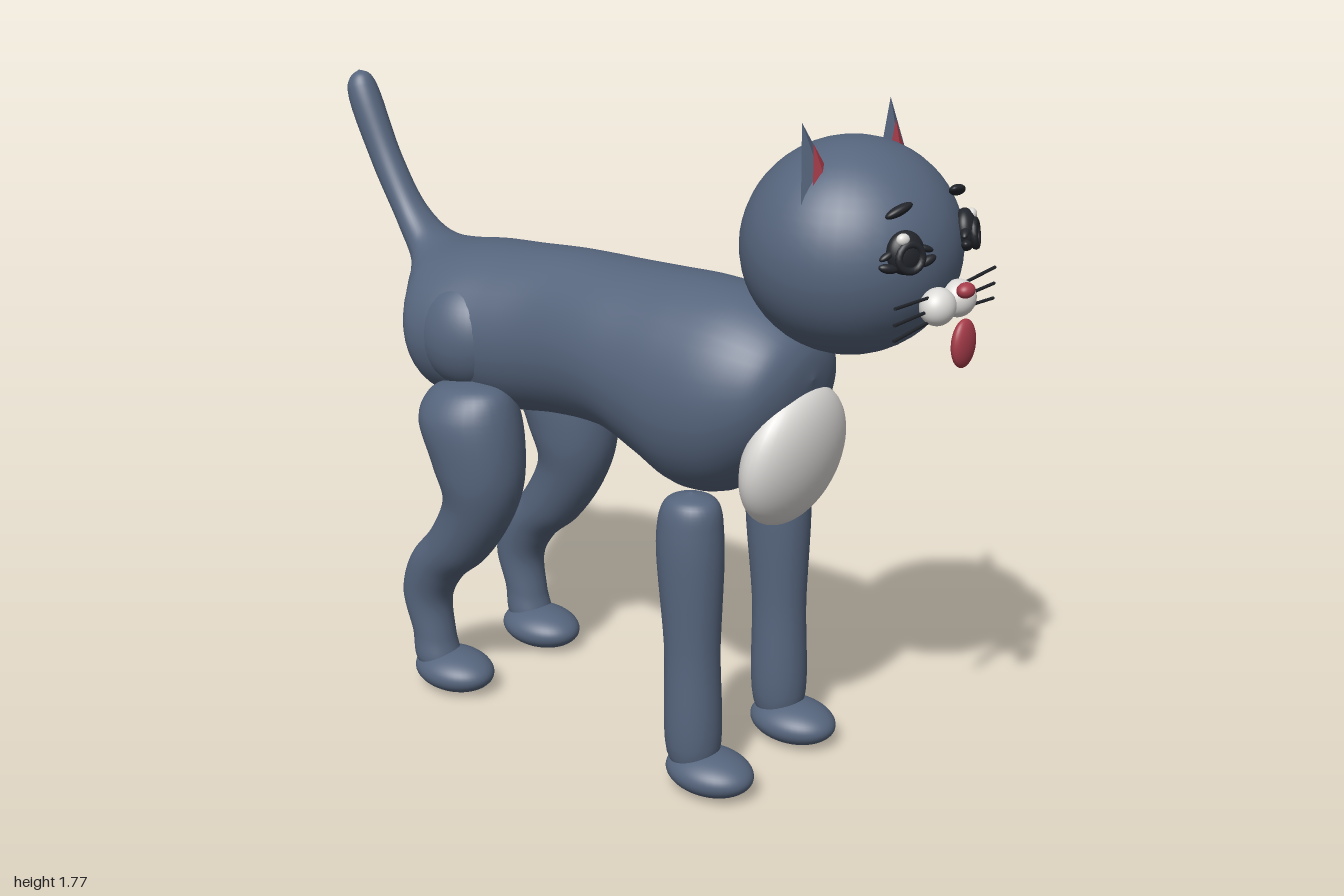
import * as THREE from 'three';

const mat = (name, color) => {
  const m = new THREE.MeshStandardMaterial({ color });
  m.name = name;
  return m;
};

// Smooth skin over elliptical sections: [z1, y1, z2, y2, halfWidth], opposite points of each ring
function loft(sections, steps, sides = 32) {
  const curve = (f) => new THREE.CatmullRomCurve3(sections.map(f));
  const first = curve((s) => new THREE.Vector3(s[4], s[1], s[0]));
  const second = curve((s) => new THREE.Vector3(s[4], s[3], s[2]));
  const pos = [], index = [];
  for (let i = 0; i <= steps; i++) {
    const a = first.getPoint(i / steps), b = second.getPoint(i / steps);
    for (let j = 0; j < sides; j++) {
      const t = (j / sides) * Math.PI * 2, c = Math.cos(t) / 2;
      pos.push(a.x * Math.sin(t), (a.y + b.y) / 2 + c * (a.y - b.y), (a.z + b.z) / 2 + c * (a.z - b.z));
      if (i === steps) continue;
      const k = (j + 1) % sides, p = i * sides, q = p + sides;
      index.push(p + j, p + k, q + j, p + k, q + k, q + j);
    }
  }
  const g = new THREE.BufferGeometry();
  g.setAttribute('position', new THREE.Float32BufferAttribute(pos, 3));
  g.setIndex(index);
  g.computeVertexNormals();
  return g;
}

export function createModel() {
  const model = new THREE.Group();
  model.name = 'cat';
  const fur = mat('blue grey fur', 0x56657d);
  const white = mat('white fur', 0xdddbd8);
  const pink = mat('rose pink', 0xa63c4a);
  const dark = mat('near black', 0x22252b);

  const add = (name, geometry, material, x, y, z, parent = model) => {
    const m = new THREE.Mesh(geometry, material);
    m.name = name;
    m.position.set(x, y, z);
    parent.add(m);
    return m;
  };
  const ball = new THREE.SphereGeometry(1, 40, 28);
  const ellipsoid = (name, material, p, r, parent) => {
    const m = add(name, ball, material, ...p, parent);
    m.scale.set(...r);
    return m;
  };

  // Body flowing into the raised tail
  add('bodyAndTail', loft([
    [0.57, 1.1, 0.57, 1.1, 0],
    [0.56, 1.17, 0.55, 1.0, 0.1],
    [0.53, 1.22, 0.5, 0.9, 0.17],
    [0.47, 1.26, 0.43, 0.82, 0.21],
    [0.38, 1.29, 0.35, 0.765, 0.235],
    [0.25, 1.3, 0.24, 0.75, 0.24],
    [0.12, 1.295, 0.12, 0.8, 0.23],
    [0, 1.29, 0, 0.845, 0.22],
    [-0.2, 1.285, -0.2, 0.84, 0.2],
    [-0.35, 1.27, -0.35, 0.82, 0.22],
    [-0.5, 1.255, -0.5, 0.82, 0.245],
    [-0.6, 1.24, -0.57, 0.83, 0.235],
    [-0.65, 1.24, -0.62, 0.89, 0.18],
    [-0.68, 1.25, -0.67, 1.0, 0.12],
    [-0.71, 1.27, -0.72, 1.12, 0.075],
    [-0.76, 1.32, -0.8, 1.23, 0.05],
    [-0.835, 1.44, -0.91, 1.4, 0.042],
    [-0.92, 1.62, -0.998, 1.595, 0.04],
    [-0.94, 1.645, -0.99, 1.632, 0.025],
    [-0.968, 1.652, -0.968, 1.652, 0],
  ], 114, 40), fur, 0, 0, 0);
  ellipsoid('chestPatch', white, [0, 0.895, 0.515], [0.185, 0.187, 0.085]).rotation.x = 0.18;

  // Legs, haunches and paws
  const frontLeg = loft([
    [0.345, 0.81, 0.345, 0.81, 0],
    [0.275, 0.78, 0.415, 0.785, 0.062],
    [0.255, 0.7, 0.43, 0.7, 0.078],
    [0.28, 0.4, 0.425, 0.4, 0.07],
    [0.3, 0.08, 0.42, 0.08, 0.06],
    [0.36, 0.06, 0.36, 0.06, 0],
  ], 40);
  const rearLeg = loft([
    [-0.4, 0.937, -0.4, 0.937, 0],
    [-0.51, 0.9, -0.29, 0.92, 0.085],
    [-0.54, 0.83, -0.255, 0.85, 0.127],
    [-0.5, 0.72, -0.24, 0.68, 0.12],
    [-0.465, 0.62, -0.275, 0.56, 0.1],
    [-0.52, 0.5, -0.37, 0.42, 0.087],
    [-0.61, 0.39, -0.46, 0.34, 0.076],
    [-0.645, 0.28, -0.505, 0.26, 0.067],
    [-0.615, 0.17, -0.495, 0.15, 0.06],
    [-0.6, 0.08, -0.48, 0.08, 0.058],
    [-0.54, 0.06, -0.54, 0.06, 0],
  ], 70);

  // Head
  const head = new THREE.Group();
  head.name = 'head';
  model.add(head);
  ellipsoid('skull', fur, [0, 1.455, 0.665], [0.267, 0.255, 0.258], head);
  ellipsoid('nose', pink, [0, 1.405, 0.977], [0.025, 0.018, 0.02], head);
  ellipsoid('tongue', pink, [0, 1.28, 0.978], [0.042, 0.058, 0.021], head);

  const earShape = new THREE.ConeGeometry(1, 1, 4).toNonIndexed();
  earShape.computeVertexNormals();
  const lash = new THREE.TorusGeometry(0.03, 0.009, 8, 20);
  const whisker = new THREE.CylinderGeometry(0.004, 0.004, 0.15, 8);

  for (const s of [-1, 1]) {
    const side = s > 0 ? 'left' : 'right';
    add(side + 'FrontLeg', frontLeg, fur, s * 0.184, 0, 0);
    add(side + 'RearLeg', rearLeg, fur, s * 0.19, 0, 0);
    ellipsoid(side + 'Haunch', fur, [s * 0.13, 1.04, -0.45], [0.123, 0.15, 0.15]);
    ellipsoid(side + 'FrontPaw', fur, [s * 0.18, 0.06, 0.41], [0.093, 0.056, 0.123]);
    ellipsoid(side + 'RearPaw', fur, [s * 0.18, 0.06, -0.49], [0.093, 0.056, 0.123]);

    // Ears: flattened pyramids with pink inner faces
    const ear = add(side + 'Ear', earShape, fur, s * 0.162, 1.665, 0.662, head);
    ear.scale.set(0.088, 0.215, 0.03);
    ear.rotation.set(-0.2, 0, -s * 0.14);
    const inner = add(side + 'InnerEar', earShape, pink, s * 0.155, 1.652, 0.68, head);
    inner.scale.set(0.06, 0.145, 0.018);
    inner.rotation.set(-0.2, 0, -s * 0.14);

    // Eyes, turned outward along the curve of the head
    const eye = new THREE.Group();
    eye.name = side + 'Eye';
    eye.position.set(s * 0.125, 1.5, 0.893);
    eye.rotation.set(-0.15, s * 0.45, 0);
    head.add(eye);
    ellipsoid('pupil', dark, [0, 0.005, 0], [0.046, 0.05, 0.028], eye);
    ellipsoid('eyeGlint', white, [s * 0.012, 0.038, 0.016], [0.016, 0.014, 0.012], eye);
    add('eyeRing', lash, dark, 0, -0.005, 0.022, eye);
    for (const d of [-1, 1]) {
      ellipsoid('lashTuft', dark, [d * 0.05, -0.022, 0.006], [0.024, 0.011, 0.012], eye).rotation.z = d * 0.3;
      ellipsoid('lashTip', dark, [d * 0.05, 0.006, 0.004], [0.02, 0.008, 0.01], eye).rotation.z = -d * 0.4;
    }
    const brow = ellipsoid(side + 'Brow', dark, [s * 0.12, 1.595, 0.868], [0.038, 0.012, 0.018], head);
    brow.rotation.set(-0.5, s * 0.4, -s * 0.12);

    // Muzzle and whiskers
    ellipsoid(side + 'Muzzle', white, [s * 0.043, 1.368, 0.932], [0.047, 0.044, 0.04], head);
    [[1.398, 0.05], [1.363, 0], [1.332, -0.07]].forEach(([y, tilt]) => {
      add(side + 'Whisker', whisker, dark, s * 0.135, y, 0.926, head).rotation.z = Math.PI / 2 + s * tilt;
    });
  }
  return model;
}
